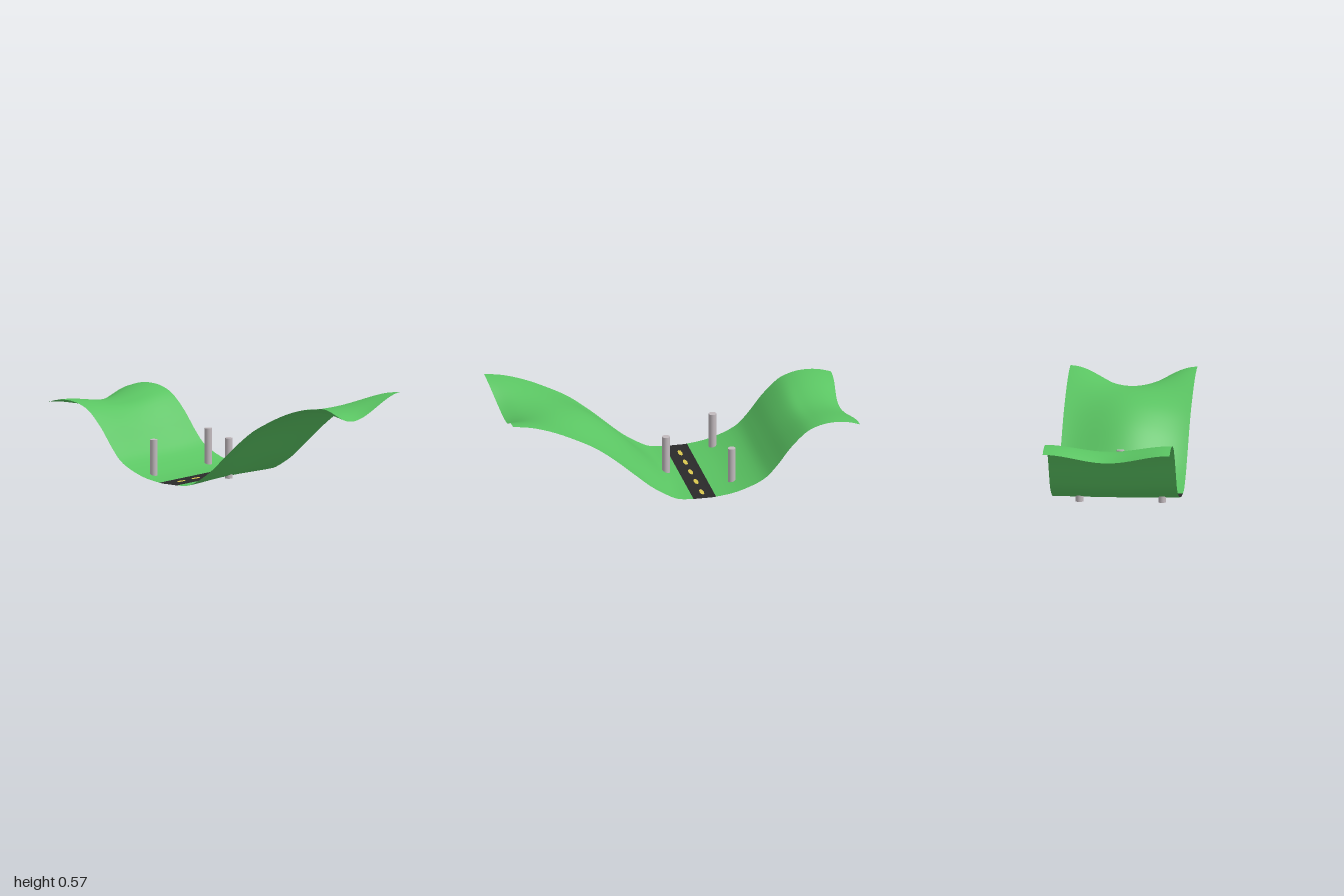
import * as THREE from 'three';

const HALF = 0.357;
// Ground profile stations: [edge x, edge y, centre x, centre y]
const STATIONS = [
  [-1, 0.37, -0.965, 0.32], [-0.93, 0.392, -0.9, 0.35], [-0.85, 0.4, -0.83, 0.36],
  [-0.77, 0.39, -0.76, 0.355], [-0.69, 0.355, -0.685, 0.335], [-0.6, 0.268, -0.6, 0.26],
  [-0.52, 0.165, -0.52, 0.16], [-0.44, 0.088, -0.44, 0.082], [-0.3, 0.032, -0.3, 0.028],
  [-0.17, 0.012, -0.17, 0.012], [-0.105, 0.011, -0.105, 0.011], [-0.04, 0.012, -0.04, 0.012],
  [0.04, 0.02, 0.04, 0.029], [0.1, 0.046, 0.1, 0.073], [0.2, 0.112, 0.2, 0.172],
  [0.3, 0.2, 0.3, 0.277], [0.4, 0.29, 0.4, 0.362], [0.52, 0.384, 0.52, 0.435],
  [0.65, 0.457, 0.65, 0.473], [0.77, 0.513, 0.76, 0.486], [0.89, 0.553, 0.87, 0.478],
  [1, 0.572, 0.965, 0.45],
];
const ROAD_START = 9, ROAD_END = 11; // stations bounding the road
const STEPS = 4, ACROSS = 32;

export function createModel() {
  const mat = (name, color) => {
    const m = new THREE.MeshStandardMaterial({ color });
    m.name = name;
    return m;
  };
  const grass = mat('grassGreen', 0x5ac462);
  const asphalt = mat('asphaltBlack', 0x2a2a2a);
  const paint = mat('paintYellow', 0xd9c74e);
  const metal = mat('postGrey', 0xc2babe);
  grass.side = asphalt.side = paint.side = THREE.DoubleSide;

  const model = new THREE.Group();
  model.name = 'valley';
  const add = (name, geometry, material, x, y, z) => {
    const mesh = new THREE.Mesh(geometry, material);
    mesh.name = name;
    mesh.position.set(x, y, z);
    model.add(mesh);
    return mesh;
  };

  // Ground sheet: blend the edge and centre curves across the width
  const curve = (i) => new THREE.CatmullRomCurve3(
    STATIONS.map((s) => new THREE.Vector3(s[i], s[i + 1], 0)), false, 'catmullrom', 0.5);
  const edge = curve(0), centre = curve(2);
  const rows = (STATIONS.length - 1) * STEPS;
  const positions = [], index = [];
  for (let i = 0; i <= rows; i++) {
    const e = edge.getPoint(i / rows), c = centre.getPoint(i / rows);
    for (let j = 0; j <= ACROSS; j++) {
      const z = HALF * (2 * j / ACROSS - 1);
      const w = (1 + Math.cos(Math.PI * z / HALF)) / 2;
      const p = e.clone().lerp(c, w);
      positions.push(p.x, p.y, z);
      if (i < rows && j < ACROSS) {
        const a = i * (ACROSS + 1) + j, b = a + ACROSS + 1;
        index.push(a, a + 1, b, a + 1, b + 1, b);
      }
    }
  }
  const ground = new THREE.BufferGeometry();
  ground.setAttribute('position', new THREE.Float32BufferAttribute(positions, 3));
  ground.setIndex(index);
  ground.computeVertexNormals();
  // Colour groups: grass, road, grass
  const perStation = STEPS * ACROSS * 6;
  const start = ROAD_START * perStation, end = ROAD_END * perStation;
  ground.addGroup(0, start, 0);
  ground.addGroup(start, end - start, 1);
  ground.addGroup(end, index.length - end, 0);
  add('groundAndRoad', ground, [grass, asphalt], 0, 0, 0);

  // Centre line dashes
  const dash = new THREE.CircleGeometry(1, 8);
  dash.rotateX(-Math.PI / 2);
  dash.scale(0.013, 1, 0.036);
  for (const z of [-0.28, -0.14, -0.01, 0.12, 0.245]) {
    add('roadDash', dash, paint, -0.105, 0.0135, z);
  }

  // Posts beside the road
  const post = (x, y, z, h) =>
    add('post', new THREE.CylinderGeometry(0.0215, 0.0215, h, 24), metal, x, y + h / 2, z);
  post(-0.295, 0, -0.205, 0.23);
  post(-0.295, 0, 0.26, 0.23);
  post(0.035, 0.013, 0, 0.23);

  return model;
}
